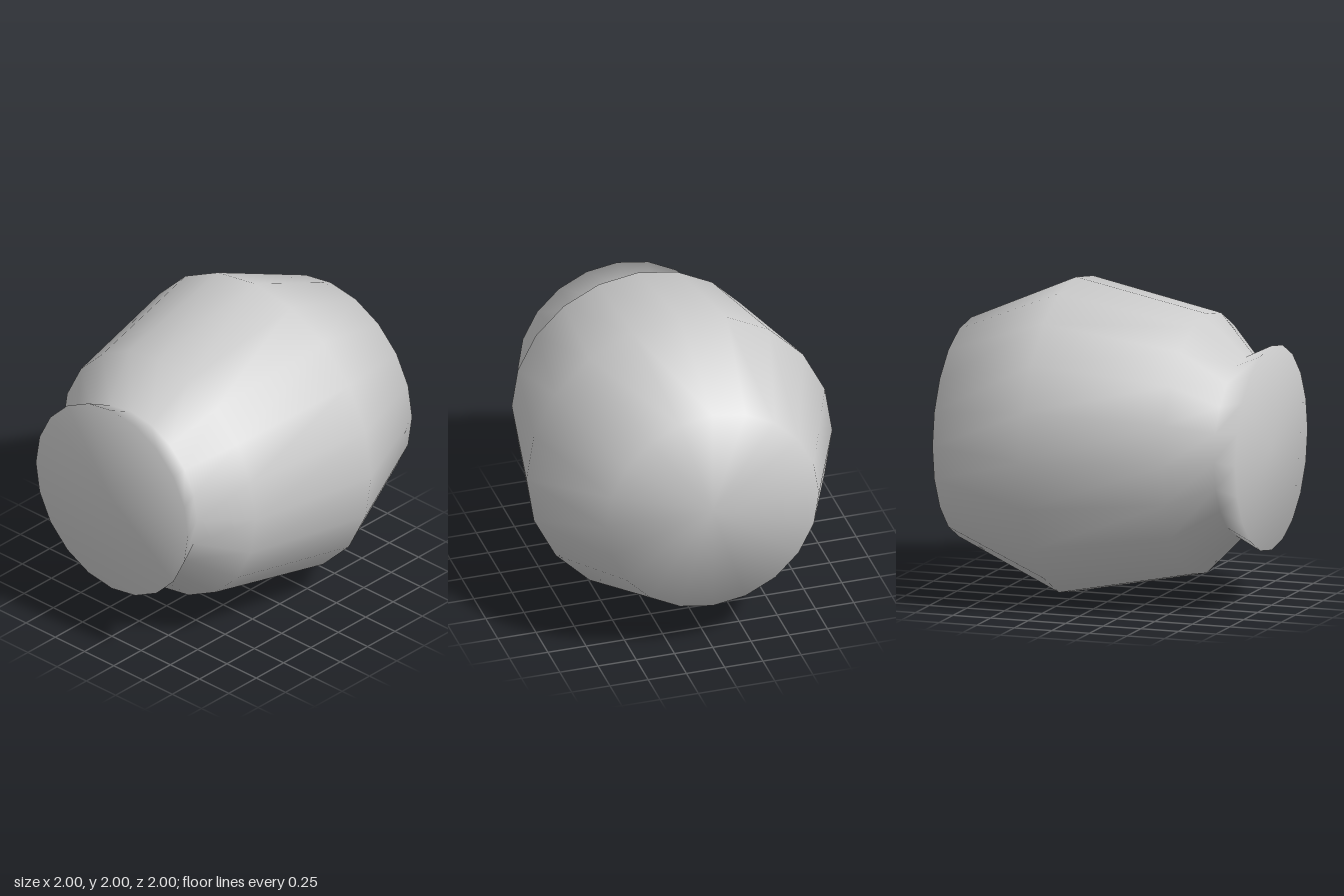
import * as THREE from 'three';
import { mergeVertices } from 'three/addons/utils/BufferGeometryUtils.js';

export function createModel() {
  const group = new THREE.Group();
  const grey = new THREE.MeshStandardMaterial({ color: 0xcccccc });
  grey.name = 'grey';

  // Closed barrel profile [radius, z], from the back cap to the flared front rim
  const profile = [
    [0, -1], [0.695, -1], [1, -0.3], [0.825, 0.57],
    [0.565, 0.825], [0.65, 1], [0, 1],
  ].map(([r, z]) => new THREE.Vector2(r, z));

  // Twenty sides, welded so that shading runs smoothly over every edge
  const lathe = new THREE.LatheGeometry(profile, 20);
  lathe.deleteAttribute('normal');
  lathe.deleteAttribute('uv');
  const geometry = mergeVertices(lathe, 0.001);
  geometry.rotateX(Math.PI / 2); // turn the axis to face the front
  geometry.translate(0, 1, 0);
  geometry.computeVertexNormals();

  const barrel = new THREE.Mesh(geometry, grey);
  barrel.name = 'flaredBarrel';
  group.add(barrel);
  return group;
}
